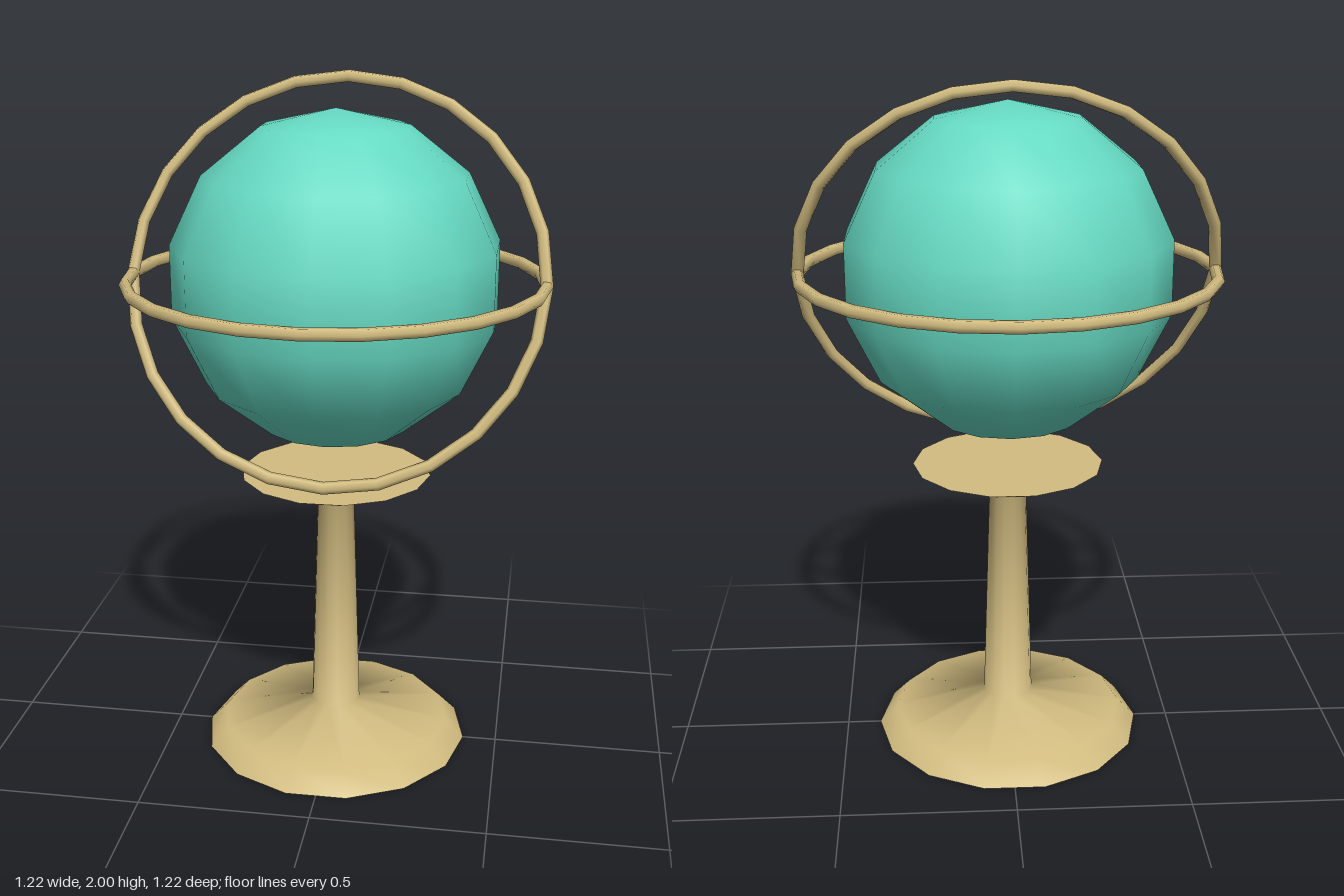
import * as THREE from 'three';

const SIDES = 14;
const CENTRE_Y = 1.442;

export function createModel() {
  const model = new THREE.Group();
  const brass = new THREE.MeshStandardMaterial({ color: 0xd2bc80 });
  brass.name = 'brass';
  const teal = new THREE.MeshStandardMaterial({ color: 0x66dac3 });
  teal.name = 'teal';

  const add = (name, geometry, material, y = 0) => {
    const mesh = new THREE.Mesh(geometry, material);
    mesh.name = name;
    mesh.position.y = y;
    model.add(mesh);
    return mesh;
  };

  // Turned stand: flared foot, tapering stem and shallow cup
  const profile = [[0.4, 0], [0.345, 0.058], [0.074, 0.115], [0.055, 0.772], [0.28, 0.865]]
    .map(([r, y]) => new THREE.Vector2(r, y));
  add('stand', new THREE.LatheGeometry(profile, SIDES, Math.PI / 2), brass);

  // Flat discs closing the foot and the cup
  add('footUnderside', new THREE.CircleGeometry(0.4, SIDES).rotateX(Math.PI / 2), brass);
  add('cupTop', new THREE.CircleGeometry(0.28, SIDES).rotateX(-Math.PI / 2), brass, 0.865);

  // Floating globe
  add('globe', new THREE.SphereGeometry(0.478, SIDES, 7).rotateY(Math.PI / 2), teal, CENTRE_Y);

  // Two rings around the globe: one level, one leaning back
  const ring = (name, tilt) => {
    add(name, new THREE.TorusGeometry(0.592, 0.018, 6, 24), brass, CENTRE_Y).rotation.x = tilt;
  };
  ring('levelRing', Math.PI / 2);
  ring('tiltedRing', -0.42);

  return model;
}
